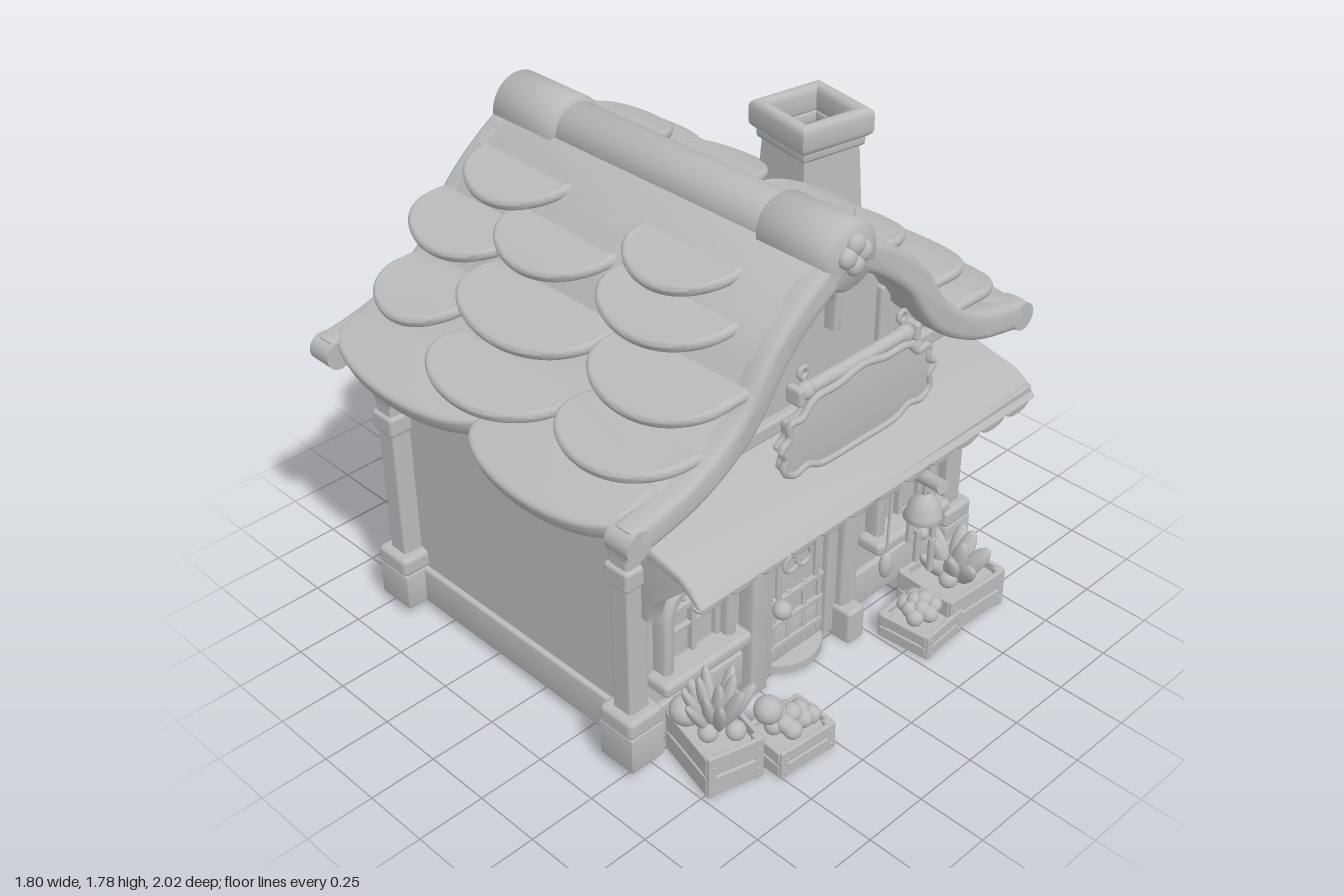
import * as THREE from 'three';
import { toCreasedNormals } from 'three/addons/utils/BufferGeometryUtils.js';
import { RoundedBoxGeometry } from 'three/addons/geometries/RoundedBoxGeometry.js';

const clay = new THREE.MeshStandardMaterial({ color: 0xbababa, side: THREE.DoubleSide });
clay.name = 'grey clay';

const V2 = (x, y) => new THREE.Vector2(x, y);
const V3 = (x, y, z) => new THREE.Vector3(x, y, z);

function add(parent, name, geo, x = 0, y = 0, z = 0) {
  const m = new THREE.Mesh(geo, clay);
  m.name = name;
  m.position.set(x, y, z);
  parent.add(m);
  return m;
}
function group(parent, name) {
  const g = new THREE.Group();
  g.name = name;
  parent.add(g);
  return g;
}
const rbox = (w, h, d, r = 0.012) => new RoundedBoxGeometry(w, h, d, 2, r);
const box = (w, h, d) => new THREE.BoxGeometry(w, h, d);
const ball = (r) => new THREE.SphereGeometry(r, 16, 12);
// Extrusion that fills z0..z0+depth, bevel included
function ex(shape, z0, depth, bevel = 0.01) {
  const g = new THREE.ExtrudeGeometry(shape, {
    depth: depth - 2 * bevel, bevelEnabled: bevel > 0, bevelThickness: bevel,
    bevelSize: bevel, bevelOffset: -bevel, bevelSegments: 3, curveSegments: 14,
  });
  g.translate(0, 0, z0 + bevel);
  return toCreasedNormals(g, 0.7);
}
// Rod between two points
function rod(parent, name, a, b, r0, r1 = r0) {
  const m = add(parent, name, new THREE.CylinderGeometry(r1, r0, a.distanceTo(b), 14));
  m.position.copy(a).lerp(b, 0.5);
  m.quaternion.setFromUnitVectors(V3(0, 1, 0), b.clone().sub(a).normalize());
  return m;
}
// Round-topped outline: half width r, from y0, arch springing at ys
const archLine = (r, y0, ys) => [V2(r, y0), ...Array.from({ length: 25 }, (_, i) => {
  const a = (i * Math.PI) / 24;
  return V2(r * Math.cos(a), ys + r * Math.sin(a));
}), V2(-r, y0)];
const arch = (r, y0, ys) => new THREE.Shape(archLine(r, y0, ys));
const archFrame = (r, w, y0, ys) => new THREE.Shape([...archLine(r, y0, ys), ...archLine(r - w, y0, ys).reverse()]);

// Sweeping gable line, half of it; mirrored for the other slope
const gable = new THREE.SplineCurve([V2(0, 1.66), V2(0.14, 1.59), V2(0.31, 1.45), V2(0.46, 1.25), V2(0.67, 1.12), V2(0.92, 1.06)]);
function offsetLine(d, end = 2) {
  return Array.from({ length: 33 }, (_, i) => {
    const p = gable.getPoint(i / 32), t = gable.getTangent(i / 32);
    return V2(Math.max(0, p.x - t.y * d), p.y + t.x * d);
  }).filter((p) => p.x < end);
}
const mirror = (pts) => pts.slice(1).reverse().map((p) => V2(-p.x, p.y)).concat(pts);
const band = (up, down, end) => new THREE.Shape([...mirror(offsetLine(-down, end)), ...mirror(offsetLine(up, end)).reverse()]);

function foil(parent, u, y, z, r, n) {
  for (let i = 0; i < n; i++) {
    const a = Math.PI / 2 + (i * 2 * Math.PI) / n;
    add(parent, 'foilRing', new THREE.TorusGeometry(r, r * 0.25, 8, 18), u + Math.cos(a) * r, y + Math.sin(a) * r, z);
  }
}

// Half-round shingle with its lip at z = 0, bending down into the roof up the slope
function shingle(w, len, thick, bend) {
  const s = new THREE.Shape();
  s.moveTo(w / 2, -len - 0.14);
  for (const d of [0.09, 0.045, 0]) s.lineTo(w / 2, -len - d);
  s.absellipse(0, -len, w / 2, len, 0, Math.PI, false);
  for (const d of [0.045, 0.09, 0.14]) s.lineTo(-w / 2, -len - d);
  s.closePath();
  const g = ex(s, -thick / 2, thick, 0.018).rotateX(Math.PI / 2);
  const p = g.attributes.position;
  for (let i = 0; i < p.count; i++) p.setY(i, p.getY(i) - bend * p.getZ(i) ** 2);
  return toCreasedNormals(g, 0.7);
}
function shingles(parent, name, list, side) {
  const lip = [[0.3, 1.6], [0.42, 1.53], [0.54, 1.44], [0.62, 1.4], [0.73, 1.29], [0.82, 1.2], [0.92, 1.15], [0.95, 1.055], [1.0, 1.035]];
  const slope = group(parent, name);
  if (side < 0) slope.scale.z = -1;
  for (const [x0, x1, z] of list) {
    const i = Math.max(1, lip.findIndex((p) => p[0] >= z - 1e-6));
    const [a, b] = [lip[i - 1], lip[i]];
    const y = a[1] + ((b[1] - a[1]) * (z - a[0])) / (b[0] - a[0]);
    const eave = z > 0.94;
    const geo = eave ? shingle(x1 - x0, 0.13, 0.075, 0.2) : shingle(x1 - x0, 0.19, 0.045, 1.1);
    const m = add(slope, 'shingle', geo, (x0 + x1) / 2, y, z);
    m.rotation.x = eave ? 0.42 : z > 0.85 ? 0.36 : 0.48;
  }
}

function crate(parent, x, z, w, h, d, turn) {
  const g = group(parent, 'crate');
  g.position.set(x, 0, z);
  g.rotation.y = turn;
  add(g, 'crateFloor', box(w - 0.02, 0.02, d - 0.02), 0, 0.02, 0);
  add(g, 'crateFilling', box(w - 0.03, 0.02, d - 0.03), 0, h * 0.75, 0);
  for (const s of [-1, 1]) {
    for (const y of [0.26, 0.76]) {
      add(g, 'slat', rbox(0.018, h * 0.45, d, 0.005), (s * w) / 2, h * y, 0);
      add(g, 'slat', rbox(w, h * 0.45, 0.018, 0.005), 0, h * y, (s * d) / 2);
    }
    for (const t of [-1, 1]) {
      add(g, 'cornerBoard', rbox(0.04, h, 0.03, 0.005), s * (w / 2 - 0.01), h / 2, t * (d / 2 - 0.01));
      for (const y of [0.25, 0.75]) add(g, 'nail', ball(0.006), s * (w / 2 + 0.01), h * y, t * (d / 2 - 0.015));
    }
  }
  return g;
}
function bunch(parent, name, n, y, r, len, spread) {
  for (let i = 0; i < n; i++) {
    const a = i * 2.4, k = spread * Math.sqrt((i + 0.5) / n);
    const dir = V3(Math.cos(a) * k, 1, Math.sin(a) * k).normalize();
    const m = add(parent, name, ball(1), dir.x * len, y + dir.y * len * 0.6, dir.z * len);
    m.scale.set(r, len * 0.6, r * 0.7);
    m.quaternion.setFromUnitVectors(V3(0, 1, 0), dir);
  }
}
function pile(parent, n, y, r, w, d) {
  for (let i = 0; i < n; i++) {
    const a = i * 2.4, k = Math.sqrt((i + 0.3) / n);
    add(parent, 'fruit', ball(r), (Math.cos(a) * k * w) / 2, y + (1 - k) * r * 1.6, (Math.sin(a) * k * d) / 2);
  }
}

function windowAt(parent, u) {
  const g = group(parent, 'window');
  g.position.x = u;
  add(g, 'windowFrame', ex(archFrame(0.165, 0.045, 0.31, 0.53), 0.45, 0.08, 0.015));
  add(g, 'innerFrame', ex(archFrame(0.125, 0.025, 0.31, 0.53), 0.45, 0.045));
  add(g, 'mullion', rbox(0.022, 0.24, 0.03, 0.006), 0, 0.43, 0.48);
  add(g, 'transom', rbox(0.23, 0.03, 0.035, 0.006), 0, 0.545, 0.485);
  add(g, 'glazingBar', rbox(0.22, 0.016, 0.02, 0.004), 0, 0.45, 0.478);
  add(g, 'sill', rbox(0.4, 0.055, 0.11, 0.02), 0, 0.31, 0.515);
  foil(g, 0, 0.6, 0.485, 0.028, 3);
}

const rect = (w, h, T) => new T([V2(-w, -h), V2(w, -h), V2(w, h), V2(-w, h)]);
// Upright rectangular ring, half sizes w and d, wall thickness t
function ring(w, d, t, h, bevel) {
  const s = rect(w, d, THREE.Shape);
  s.holes.push(rect(w - t, d - t, THREE.Path));
  return ex(s, 0, h, bevel).rotateX(-Math.PI / 2);
}

export function createModel() {
  const root = new THREE.Group();
  root.name = 'marketCottage';

  // Turned group: local x runs along the shop front, local z points out of it
  const shop = group(root, 'shopFront');
  shop.rotation.y = Math.PI / 2;

  // Walls, hollow plinth and corner posts
  const inner = offsetLine(-0.02, 0.74);
  add(shop, 'walls', ex(new THREE.Shape([V2(-0.76, 0.14), V2(0.76, 0.14), V2(0.76, 1.07), ...mirror(inner).reverse(), V2(-0.76, 1.07)]), -0.69, 1.16, 0));
  add(root, 'plinth', ring(0.6, 0.78, 0.03, 0.15, 0.008), -0.11, 0.03, 0);
  for (const x of [-0.7, 0.47]) for (const z of [-0.79, 0.79]) {
    const p = group(root, 'cornerPost');
    p.position.set(x, 0, z);
    add(p, 'postShaft', rbox(0.085, 0.9, 0.085), 0, 0.63, 0);
    add(p, 'postFoot', ring(0.075, 0.07, 0.025, 0.15, 0.01), 0, 0.035, 0);
    add(p, 'postFootTop', rbox(0.155, 0.075, 0.15, 0.02), 0, 0.215, 0);
    add(p, 'postCuff', rbox(0.11, 0.08, 0.11, 0.015), 0, 0.8, 0);
    const cap = new THREE.CylinderGeometry(0.085, 0.06, 0.17, 4, 1).rotateY(Math.PI / 4);
    add(p, 'postCapital', toCreasedNormals(cap, 0.5), 0, 0.96, 0);
  }

  // Timber on both gables
  for (const z of [-0.7, 0.475]) {
    add(shop, 'tieBeam', rbox(1.5, 0.06, 0.05), 0, 1.04, z);
    for (const u of [-0.36, 0.36]) add(shop, 'gableStud', rbox(0.05, 0.3, 0.04), u, 1.2, z);
  }
  add(shop, 'kingStud', rbox(0.05, 0.5, 0.03), 0, 1.3, -0.7);

  // Arched panel and shelf on the rear wall
  const half = new THREE.Shape();
  half.absellipse(-0.12, 0.36, 0.37, 0.36, 0, Math.PI, false);
  add(root, 'rearArchPanel', ex(half, -0.769, 0.009, 0));
  add(root, 'rearShelf', rbox(0.8, 0.05, 0.07), -0.12, 0.35, -0.775);

  // Roof shell, bargeboards and ridge
  add(shop, 'roofShell', ex(band(0.055, 0.03, 0.84), -0.87, 1.48, 0.01));
  for (const z of [-0.9, 0.56]) {
    add(shop, 'bargeboard', ex(band(0.055, 0.05), z, 0.1, 0.025));
    for (const s of [-1, 1]) add(shop, 'bargeEnd', new THREE.CylinderGeometry(0.052, 0.052, 0.1, 18).rotateX(Math.PI / 2), s * 0.91, 1.062, z + 0.05);
  }
  const ridge = (name, r, x0, x1) => add(root, name, toCreasedNormals(new THREE.LatheGeometry(
    [V2(0, 0), V2(r - 0.015, 0), V2(r, 0.015), V2(r, x1 - x0 - 0.015), V2(r - 0.015, x1 - x0), V2(0, x1 - x0)], 28).rotateZ(-Math.PI / 2), 0.9), x0, 1.665, 0.015);
  ridge('ridgeRoll', 0.1, -0.88, 0.64);
  ridge('ridgeCollar', 0.117, -0.9, -0.58);
  ridge('ridgeCollar', 0.117, 0.35, 0.66);
  // Four-lobed boss on the ridge end
  for (let i = 0; i < 4; i++) {
    const a = (i * Math.PI) / 2;
    add(shop, 'ridgeBossLobe', ball(1).scale(0.036, 0.036, 0.026), -0.015 + Math.cos(a) * 0.035, 1.68 + Math.sin(a) * 0.035, 0.665);
  }

  shingles(root, 'frontShingles', [
    [-0.83, -0.38, 0.42], [-0.54, -0.05, 0.54], [-0.05, 0.4, 0.42], [-0.89, -0.41, 0.62], [-0.53, 0.1, 0.73], [-0.03, 0.5, 0.56],
    [-0.86, -0.45, 0.8], [0.1, 0.64, 0.72], [-0.48, 0.11, 0.91], [0.11, 0.62, 0.87], [-0.86, -0.1, 0.96], [-0.12, 0.58, 1.0]], 1);
  shingles(root, 'rearShingles', [
    [-0.78, -0.4, 0.36], [-0.4, 0, 0.42], [0.05, 0.42, 0.38], [-0.89, -0.45, 0.55], [-0.55, -0.08, 0.6], [0.15, 0.52, 0.52],
    [-0.88, -0.55, 0.71], [-0.57, -0.1, 0.72], [0.1, 0.64, 0.7], [-0.88, -0.42, 0.87], [-0.45, 0.25, 0.84], [0.22, 0.65, 0.85],
    [-0.86, -0.14, 1.0], [-0.16, 0.6, 0.99]], -1);

  // Chimney, slightly turned
  const chimney = group(root, 'chimney');
  chimney.position.set(0, 0, -0.515);
  chimney.rotation.y = -0.17;
  const stem = new THREE.CylinderGeometry(0.165, 0.2, 0.5, 4, 3, true).rotateY(Math.PI / 4);
  add(chimney, 'chimneyStem', toCreasedNormals(stem, 0.5), 0, 1.4, 0);
  add(chimney, 'chimneyCap', ring(0.15, 0.15, 0.05, 0.105, 0.025), 0, 1.675, 0);
  add(chimney, 'chimneyCollar', ring(0.13, 0.13, 0.03, 0.05, 0.012), 0, 1.64, 0);

  // Awning with a rolled edge, scalloped fringe and brackets
  const section = new THREE.Shape([V2(0.46, 1.01), V2(0.6, 0.985), V2(0.74, 0.955), V2(0.785, 0.93), V2(0.83, 0.875), V2(0.81, 0.865), V2(0.74, 0.915), V2(0.46, 0.965)]);
  add(root, 'awning', ex(section, -0.78, 1.61, 0.012));
  const n = 12, step = 1.6 / n;
  const fringe = new THREE.Shape();
  fringe.moveTo(-0.83, 0.92);
  for (let i = 0; i < n; i++) fringe.absellipse(-0.83 + step * (i + 0.5), 0.865, step / 2, 0.035, Math.PI, 2 * Math.PI, false);
  fringe.lineTo(0.77, 0.92);
  add(shop, 'awningFringe', ex(fringe, 0.79, 0.025, 0.006));
  const knee = new THREE.Shape([V2(0.47, 0.62), V2(0.54, 0.62), V2(0.56, 0.7), V2(0.74, 0.88), V2(0.75, 0.93), V2(0.47, 0.99)]);
  for (const z of [-0.74, 0.74]) add(root, 'awningBracket', ex(knee, z - 0.035, 0.07));

  // Door with arched surround
  const door = group(shop, 'door');
  door.position.x = -0.03;
  add(door, 'doorSurround', ex(archFrame(0.265, 0.08, 0, 0.48), 0.44, 0.1, 0.015));
  add(door, 'doorFrame', ex(archFrame(0.19, 0.055, 0.02, 0.46), 0.44, 0.07));
  add(door, 'doorLeaf', ex(arch(0.14, 0.02, 0.46), 0.44, 0.045, 0.005));
  for (const y of [0.1, 0.2, 0.3]) add(door, 'doorRail', rbox(0.26, 0.025, 0.02, 0.004), 0, y, 0.49);
  for (const u of [-0.115, -0.04, 0.04, 0.115]) add(door, 'doorStile', rbox(0.02, 0.26, 0.015, 0.004), u, 0.19, 0.488);
  add(door, 'doorPane', ex(archFrame(0.105, 0.02, 0.31, 0.48), 0.47, 0.03, 0.005));
  foil(door, 0, 0.45, 0.49, 0.035, 3);
  add(door, 'doorKnob', ball(0.035), -0.125, 0.31, 0.54);
  add(shop, 'doorStone', rbox(0.085, 0.14, 0.12, 0.015), 0.185, 0.07, 0.53);
  add(root, 'doorstep', new THREE.CylinderGeometry(0.17, 0.17, 0.035, 28), 0.39, 0.0175, 0.03);

  // Windows
  windowAt(shop, -0.525);
  windowAt(shop, 0.51);
  const attic = group(shop, 'atticWindow');
  attic.position.x = -0.03;
  add(attic, 'atticFrame', ex(archFrame(0.145, 0.035, 1.3, 1.4), 0.45, 0.07, 0.012));
  foil(attic, 0, 1.43, 0.48, 0.04, 3);

  // Hanging sign board and its rod
  const edge = [[-0.3, 1.05], [-0.345, 1.085], [-0.335, 1.13], [-0.36, 1.165], [-0.325, 1.195], [-0.325, 1.245], [-0.27, 1.245], [-0.22, 1.29], [-0.11, 1.295], [0, 1.315]];
  const low = [[0.24, 1.06], [0.18, 1.035], [0, 1.03], [-0.18, 1.035], [-0.24, 1.06]];
  const outline = [...edge, ...edge.slice(0, -1).reverse().map(([u, y]) => [-u, y]), ...low];
  const curve = new THREE.CatmullRomCurve3(outline.map(([u, y]) => V3(u, y, 0)), true);
  const sign = group(shop, 'signBoard');
  sign.position.x = -0.02;
  add(sign, 'signPanel', ex(new THREE.Shape(curve.getPoints(100).slice(0, -1).map((p) => V2(p.x, p.y))), 0.68, 0.04, 0.006));
  add(sign, 'signRim', new THREE.TubeGeometry(curve, 120, 0.013, 8, true), 0, 0, 0.718);
  rod(sign, 'signRod', V3(-0.27, 1.315, 0.69), V3(0.27, 1.315, 0.69), 0.024);
  for (const u of [-0.23, 0.23]) {
    add(sign, 'signKnot', ball(0.032), u, 1.315, 0.69);
    add(sign, 'signLoop', new THREE.TorusGeometry(0.018, 0.009, 8, 16), u, 1.375, 0.68);
    rod(sign, 'signCord', V3(u, 1.36, 0.68), V3(u, 1.25, 0.7), 0.011);
  }
  for (const u of [-0.27, 0.27]) add(sign, 'rodEnd', rbox(0.03, 0.065, 0.065, 0.012), u, 1.315, 0.69);

  // Pole with a wind chime and a pull cord
  rod(root, 'chimePole', V3(0.47, 0.74, -0.3), V3(0.885, 0.81, -0.22), 0.03, 0.024);
  add(root, 'poleCollar', ball(0.045), 0.5, 0.745, -0.295);
  const chime = group(root, 'windChime');
  chime.position.set(0.805, 0, -0.235);
  const bell = [[0.012, 0.735], [0.035, 0.72], [0.055, 0.69], [0.06, 0.66], [0.07, 0.645], [0.055, 0.64], [0, 0.65]];
  add(chime, 'chimeBell', new THREE.LatheGeometry(bell.map(([r, y]) => V2(r, y)).reverse(), 22));
  rod(chime, 'chimeCord', V3(0, 0.73, 0), V3(0, 0.8, 0), 0.008);
  for (let i = 0; i < 5; i++) {
    const a = i * 1.257, x = Math.cos(a) * 0.042, z = Math.sin(a) * 0.042, b = 0.44 + (i % 3) * 0.045;
    rod(chime, 'chimeTube', V3(x, b, z), V3(x, b + 0.13, z), 0.012);
    rod(chime, 'tubeCord', V3(x, b + 0.1, z), V3(x, 0.65, z), 0.004);
  }
  add(chime, 'chimeClapper', ball(0.022), 0, 0.57, 0);
  rod(root, 'pullCord', V3(0.645, 0.77, -0.265), V3(0.645, 0.36, -0.255), 0.005);
  add(root, 'cordTassel', ball(0.03).scale(0.7, 1.8, 1), 0.645, 0.335, -0.255);

  // Crates of produce
  const greens = crate(root, 0.66, 0.6, 0.26, 0.17, 0.2, -0.25);
  bunch(greens, 'leaf', 12, 0.17, 0.028, 0.155, 0.65);
  add(greens, 'pumpkin', ball(0.06).scale(1, 0.85, 1), -0.06, 0.215, 0.07);
  rod(greens, 'pumpkinStem', V3(-0.06, 0.25, 0.07), V3(-0.06, 0.3, 0.075), 0.013, 0.008);
  pile(greens, 6, 0.17, 0.035, 0.17, 0.16);
  const fruit = crate(root, 0.79, 0.38, 0.17, 0.11, 0.23, -0.08);
  pile(fruit, 11, 0.12, 0.034, 0.1, 0.17);
  add(fruit, 'melon', ball(0.05), -0.03, 0.19, 0.07);
  const roots = crate(root, 0.69, -0.58, 0.24, 0.155, 0.28, -0.05);
  bunch(roots, 'carrot', 9, 0.14, 0.034, 0.135, 0.95);
  pile(roots, 5, 0.16, 0.035, 0.16, 0.2);
  const berries = crate(root, 0.72, -0.375, 0.2, 0.1, 0.2, 0.08);
  pile(berries, 13, 0.115, 0.032, 0.13, 0.14);

  return root;
}
